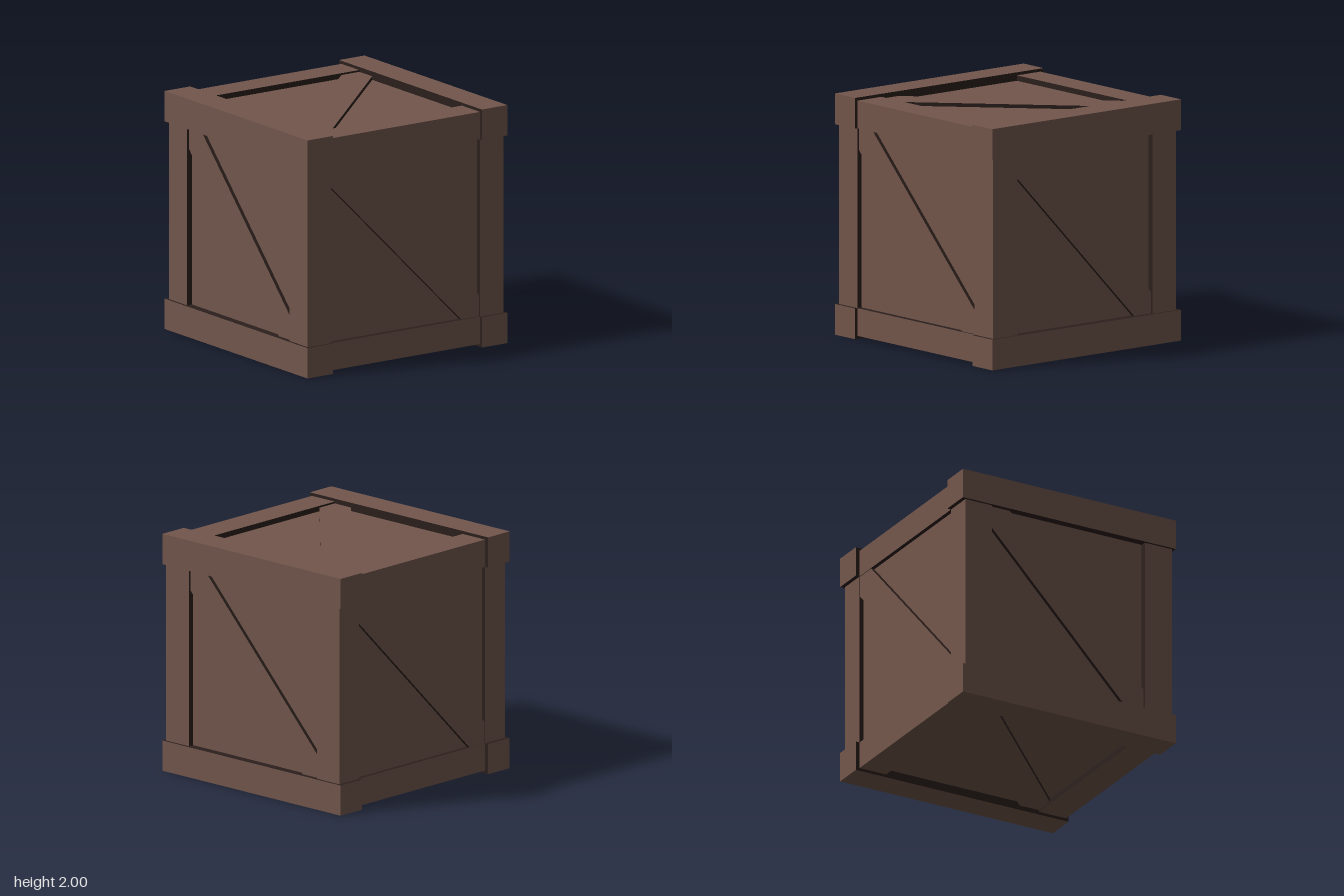
import * as THREE from 'three';

export function createModel() {
  const model = new THREE.Group();
  model.name = 'crate';
  const wood = new THREE.MeshStandardMaterial({ color: 0x72564b });
  wood.name = 'brown wood';
  const edge = new THREE.MeshStandardMaterial({ color: 0x2b1f1c });
  edge.name = 'dark edge';

  // everything is built around the crate's middle, then lifted to stand on y = 0
  const crate = new THREE.Group();
  crate.name = 'crateBody';
  crate.position.y = 1;
  model.add(crate);

  const PANEL = 0.93;   // distance of the recessed panels from the middle
  const BRACE = 0.96;   // distance of the diagonal boards' faces
  const INNER = 0.745;  // inner edge of the frame

  // box given by its limits on each axis; faces turned towards the middle are dark
  function block(name, ...limits) {
    const size = limits.map(([a, b]) => b - a);
    const centre = limits.map(([a, b]) => (a + b) / 2);
    const materials = centre.flatMap((c) => [c < 0 ? edge : wood, c > 0 ? edge : wood]);
    const mesh = new THREE.Mesh(new THREE.BoxGeometry(...size), materials);
    mesh.position.set(...centre);
    mesh.name = name;
    crate.add(mesh);
  }
  const span = (sign, a, b) => (sign > 0 ? [a, b] : [-b, -a]);

  // recessed panels of all six sides
  block('panels', [-PANEL, PANEL], [-PANEL, PANEL], [-PANEL, PANEL]);

  // frame
  for (const s of [-1, 1]) {
    for (const t of [-1, 1]) {
      const side = s > 0 ? [0.72, 0.975] : [-0.965, -0.715];
      block('longBeam', [-1, 1], span(s, INNER, 1), span(t, INNER, 1));
      block('cornerPost', side, [-INNER, INNER], span(t, INNER, 0.98));
      block('sideBeam', side, span(t, INNER, 0.975), [-INNER, INNER]);
    }
  }

  // diagonal board from upper left to lower right, cut to fit the frame
  function braceGeometry(left, right) {
    const cut = 0.18;
    const shape = new THREE.Shape([
      [right - cut, -INNER], [right, -INNER], [right, cut - INNER],
      [left + cut, INNER], [left, INNER], [left, INNER - cut],
    ].map(([x, y]) => new THREE.Vector2(x, y)));
    const geometry = new THREE.ExtrudeGeometry(shape, { depth: BRACE - PANEL + 0.02, bevelEnabled: false });
    return geometry.translate(0, 0, PANEL - 0.02);
  }
  function addBrace(name, geometry, axis, angle) {
    const mesh = new THREE.Mesh(geometry, [wood, edge]);
    mesh.name = name;
    mesh.rotation[axis] = angle;
    crate.add(mesh);
  }
  const wide = braceGeometry(-0.715, 0.72);
  ['frontBrace', 'topBrace', 'backBrace', 'bottomBrace'].forEach((name, i) =>
    addBrace(name, wide, 'x', -i * Math.PI / 2));
  const sideways = braceGeometry(-INNER, INNER);
  addBrace('leftBrace', sideways, 'y', Math.PI / 2);
  addBrace('rightBrace', sideways, 'y', -Math.PI / 2);

  return model;
}
